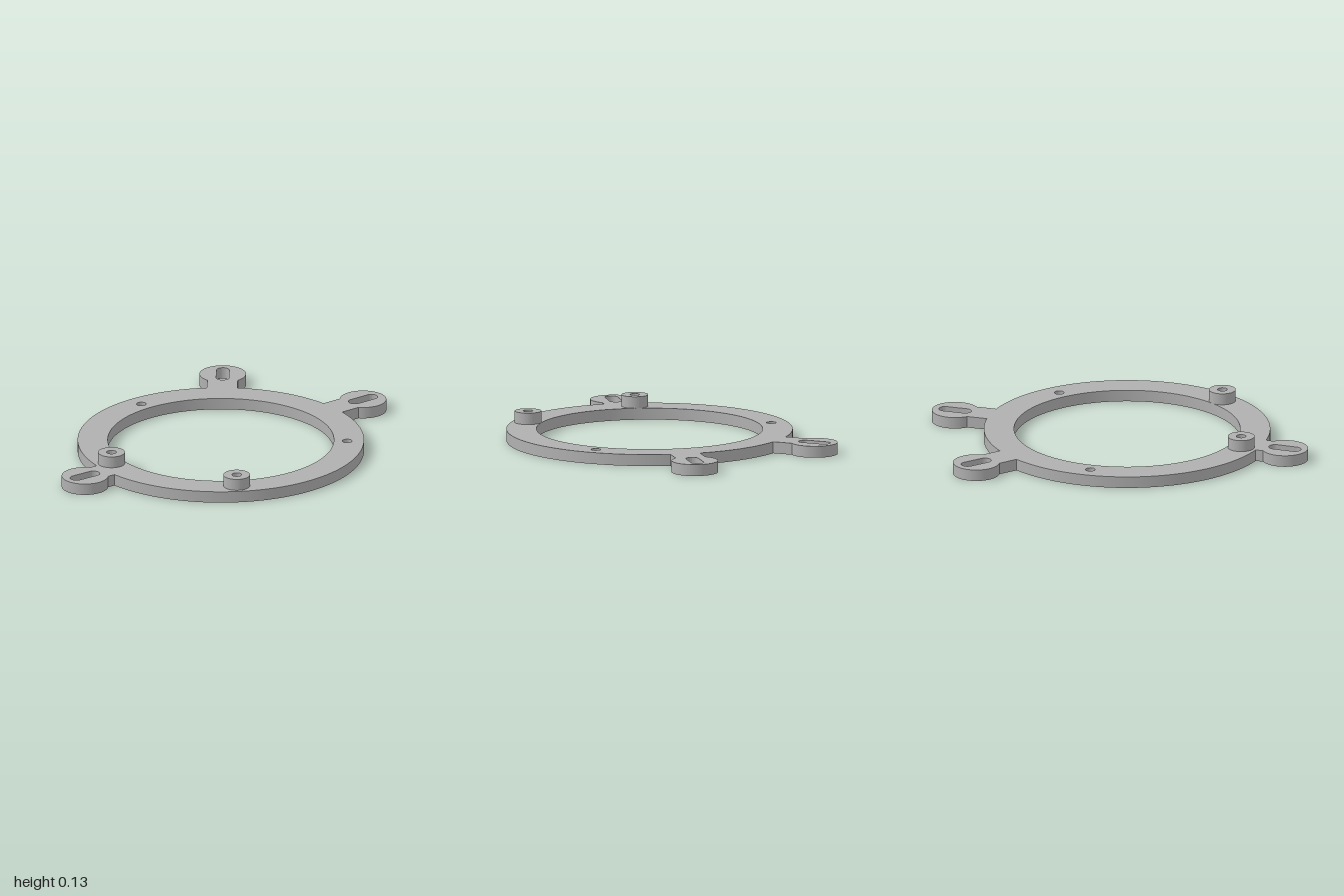
import * as THREE from 'three';
import { toCreasedNormals } from 'three/addons/utils/BufferGeometryUtils.js';

const RING_Z = 0.04, OUTER = 0.8, INNER = 0.632, THICK = 0.065;
const EAR_R = 0.13, NECK = 0.085, HOLE_R = 0.027;

// Ears and bosses in plan, relative to the ring centre (plan y points to the back)
const EARS = [[0.437, 0.91], [-0.437, 0.91], [-0.437, -0.83]];
const BOSSES = [[0.39, -0.59], [-0.39, -0.59]];
const SCREW_HOLES = [[0.641, 0.295], [-0.641, 0.295]];

function circle(x, y, r) {
  return new THREE.Path().absarc(x, y, r, 0, Math.PI * 2, false);
}

// Round-ended slot pointing along angle a
function slot(x, y, a, halfLength, r) {
  const dx = Math.cos(a) * halfLength, dy = Math.sin(a) * halfLength;
  const path = new THREE.Path();
  path.absarc(x + dx, y + dy, r, a - Math.PI / 2, a + Math.PI / 2, false);
  path.absarc(x - dx, y - dy, r, a + Math.PI / 2, a + Math.PI * 1.5, false);
  path.closePath();
  return path;
}

// Extrude a plan shape upwards from y = base
function plate(shape, height, base) {
  const geo = new THREE.ExtrudeGeometry(shape, { depth: height, bevelEnabled: false, curveSegments: 64 });
  geo.rotateX(-Math.PI / 2);
  geo.translate(0, base, RING_Z);
  return toCreasedNormals(geo, Math.PI / 6);
}

function ringShape() {
  const shape = new THREE.Shape();
  const spread = Math.asin(NECK / OUTER), mouth = Math.asin(NECK / EAR_R);
  const ears = EARS.map(([x, y]) => ({ x, y, a: (Math.atan2(y, x) + Math.PI * 2) % (Math.PI * 2) }));
  // Outline: around each ear, then along the rim to the next neck
  ears.forEach((ear, i) => {
    const next = i + 1 < ears.length ? ears[i + 1].a : ears[0].a + Math.PI * 2;
    shape.absarc(ear.x, ear.y, EAR_R, ear.a - Math.PI + mouth, ear.a + Math.PI - mouth, false);
    shape.absarc(0, 0, OUTER, ear.a + spread, next - spread, false);
  });
  shape.closePath();
  // Openings
  shape.holes.push(circle(0, 0, INNER));
  for (const [x, y] of [...SCREW_HOLES, ...BOSSES]) shape.holes.push(circle(x, y, HOLE_R));
  for (const e of ears) shape.holes.push(slot(e.x, e.y, e.a, 0.058, 0.036));
  return shape;
}

export function createModel() {
  const group = new THREE.Group();
  group.name = 'mountingRing';
  const grey = new THREE.MeshStandardMaterial({ color: 0xb0b0b0 });
  grey.name = 'grey';

  // Ring with slotted ears
  const ring = new THREE.Mesh(plate(ringShape(), THICK, 0), grey);
  ring.name = 'slottedRing';
  group.add(ring);

  // Hollow standoffs at the front
  BOSSES.forEach(([x, y], i) => {
    const shape = new THREE.Shape().absarc(x, y, 0.075, 0, Math.PI * 2, false);
    shape.holes.push(circle(x, y, HOLE_R));
    const boss = new THREE.Mesh(plate(shape, 0.065, THICK), grey);
    boss.name = i === 0 ? 'leftStandoff' : 'rightStandoff';
    group.add(boss);
  });
  return group;
}
